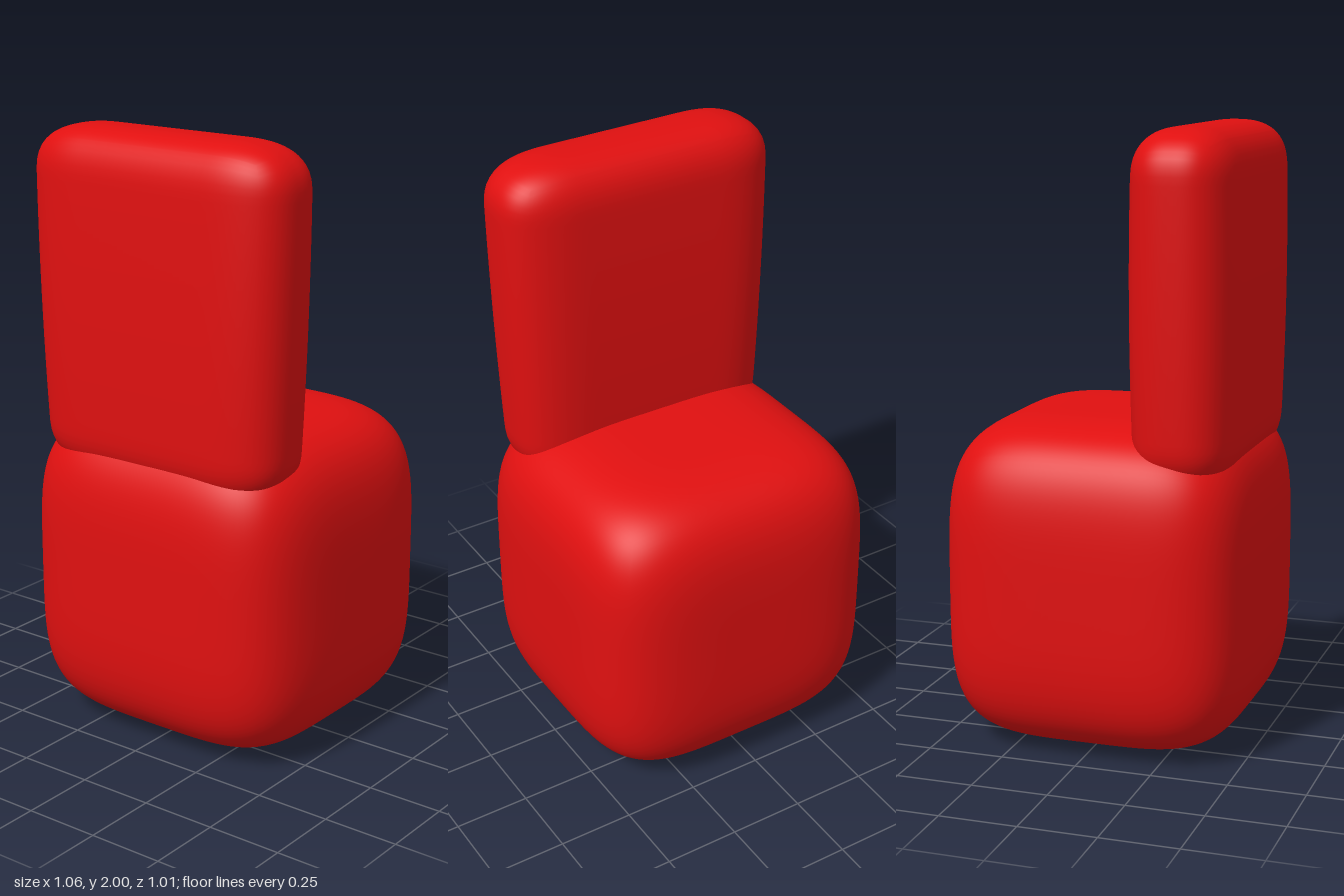
import * as THREE from 'three';
import { mergeVertices } from 'three/addons/utils/BufferGeometryUtils.js';

const red = new THREE.MeshStandardMaterial({ color: 0xe01010 });

// Soft cushion: a box with half sizes h whose edges are rounded over the
// distances r along a superellipse of power m, then bent by an optional rule.
function cushion(name, h, r, m, bend) {
  const box = new THREE.BoxGeometry(2, 2, 2, 40, 40, 40);
  box.deleteAttribute('uv');
  box.deleteAttribute('normal');
  const geo = mergeVertices(box);
  const pos = geo.attributes.position;
  const p = new THREE.Vector3();
  for (let i = 0; i < pos.count; i++) {
    const v = [pos.getX(i), pos.getY(i), pos.getZ(i)].map((t, k) => t * h[k]);
    const core = v.map((t, k) => THREE.MathUtils.clamp(t, r[k] - h[k], h[k] - r[k]));
    const d = v.map((t, k) => (t - core[k]) / r[k]);
    const len = d.reduce((s, t) => s + Math.abs(t) ** m, 0) ** (1 / m);
    p.fromArray(core.map((c, k) => c + (r[k] * d[k]) / len));
    if (bend) bend(p);
    pos.setXYZ(i, p.x, p.y, p.z);
  }
  geo.computeVertexNormals();
  const mesh = new THREE.Mesh(geo, red);
  mesh.name = name;
  return mesh;
}

export function createModel() {
  const group = new THREE.Group();
  group.name = 'chair';

  // Block seat, rounded all over
  const seat = cushion('seat', [0.53, 0.5375, 0.505], [0.53, 0.5375, 0.505], 4.2);
  seat.position.y = 0.5375;
  group.add(seat);

  // Backrest: narrower towards the bottom, slightly fuller at mid height
  const back = cushion('backrest', [0.49, 0.56, 0.1725], [0.25, 0.16, 0.1725], 2.6, (p) => {
    const t = p.y / 0.56;
    p.x *= 0.972 + 0.04 * t - 0.012 * t * t;
    p.z *= 1 - 0.07 * t * t;
  });
  back.position.set(0, 1.44, 0.2925);
  group.add(back);

  return group;
}
